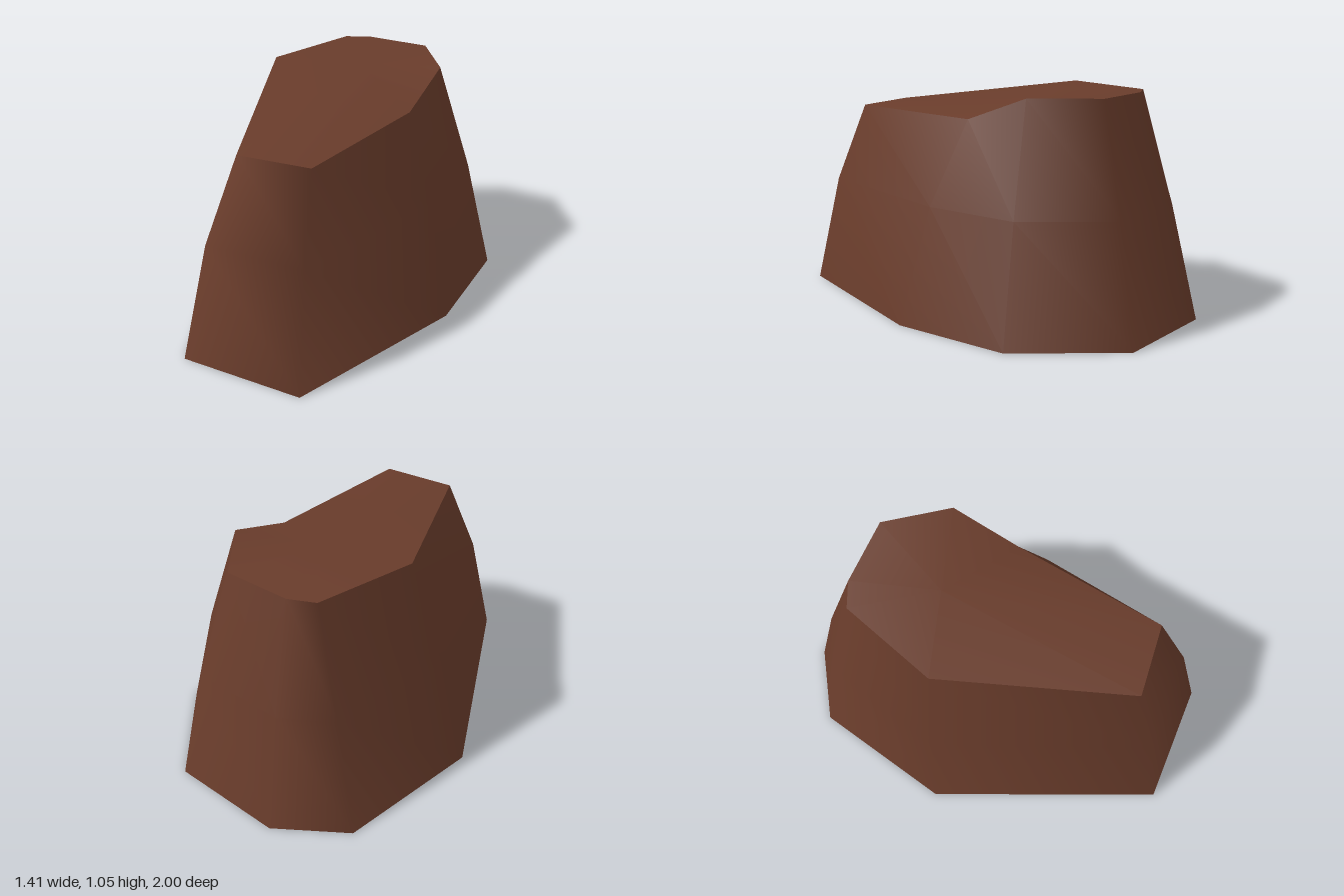
import * as THREE from 'three';

// Outlines as [x, z], running from the back around the +x side
const BASE = [[0, -1], [0.51, -0.81], [0.705, -0.29], [0.54, 0.27], [-0.01, 1], [-0.58, 0.83], [-0.705, -0.29], [-0.36, -0.905]];
const TOP = [[0, -0.705], [0.3, -0.61], [0.41, -0.29], [0.305, 0.02], [-0.01, 0.7], [-0.35, 0.63], [-0.41, -0.29], [-0.13, -0.69]];
const N = BASE.length;
const BACK_HEIGHT = 1.053, FRONT_HEIGHT = 0.935;

function geometryFrom(points, index) {
  const geometry = new THREE.BufferGeometry();
  geometry.setAttribute('position', new THREE.Float32BufferAttribute(points.flat(), 3));
  geometry.setIndex(index);
  geometry.computeVertexNormals();
  return geometry;
}

// Closes a ring with triangles that meet at a centre point
function cap(ring, centre) {
  const index = [];
  for (let i = 0; i < N; i++) index.push(N, (i + 1) % N, i);
  return geometryFrom([...ring, centre], index);
}

// Smooth wall through the stacked rings
function wall(rings) {
  const index = [];
  for (let r = 0; r < rings.length - 1; r++) {
    for (let i = 0; i < N; i++) {
      const a = r * N + i, b = r * N + (i + 1) % N;
      index.push(a, a + N, b + N, a, b + N, b);
    }
  }
  return geometryFrom(rings.flat(), index);
}

export function createModel() {
  const group = new THREE.Group();
  group.name = 'rock';
  // The shell is open underneath, so its inside shows as well
  const brown = new THREE.MeshStandardMaterial({ color: 0x693c2b, side: THREE.DoubleSide });
  brown.name = 'brown';

  // Base, slightly bulging middle, and a top that drops towards the front
  const base = BASE.map(([x, z]) => [x, 0, z]);
  const middle = BASE.map(([x, z], i) => [
    THREE.MathUtils.lerp(x, TOP[i][0], 0.45), 0.545, THREE.MathUtils.lerp(z, TOP[i][1], 0.45)]);
  const top = TOP.map(([x, z]) => [x, z > 0 ? FRONT_HEIGHT : BACK_HEIGHT, z]);

  const parts = {
    rockSides: wall([base, middle, top]),
    rockTop: cap(top, [0, BACK_HEIGHT, -0.29]),
  };
  for (const [name, geometry] of Object.entries(parts)) {
    const mesh = new THREE.Mesh(geometry, brown);
    mesh.name = name;
    group.add(mesh);
  }
  return group;
}
